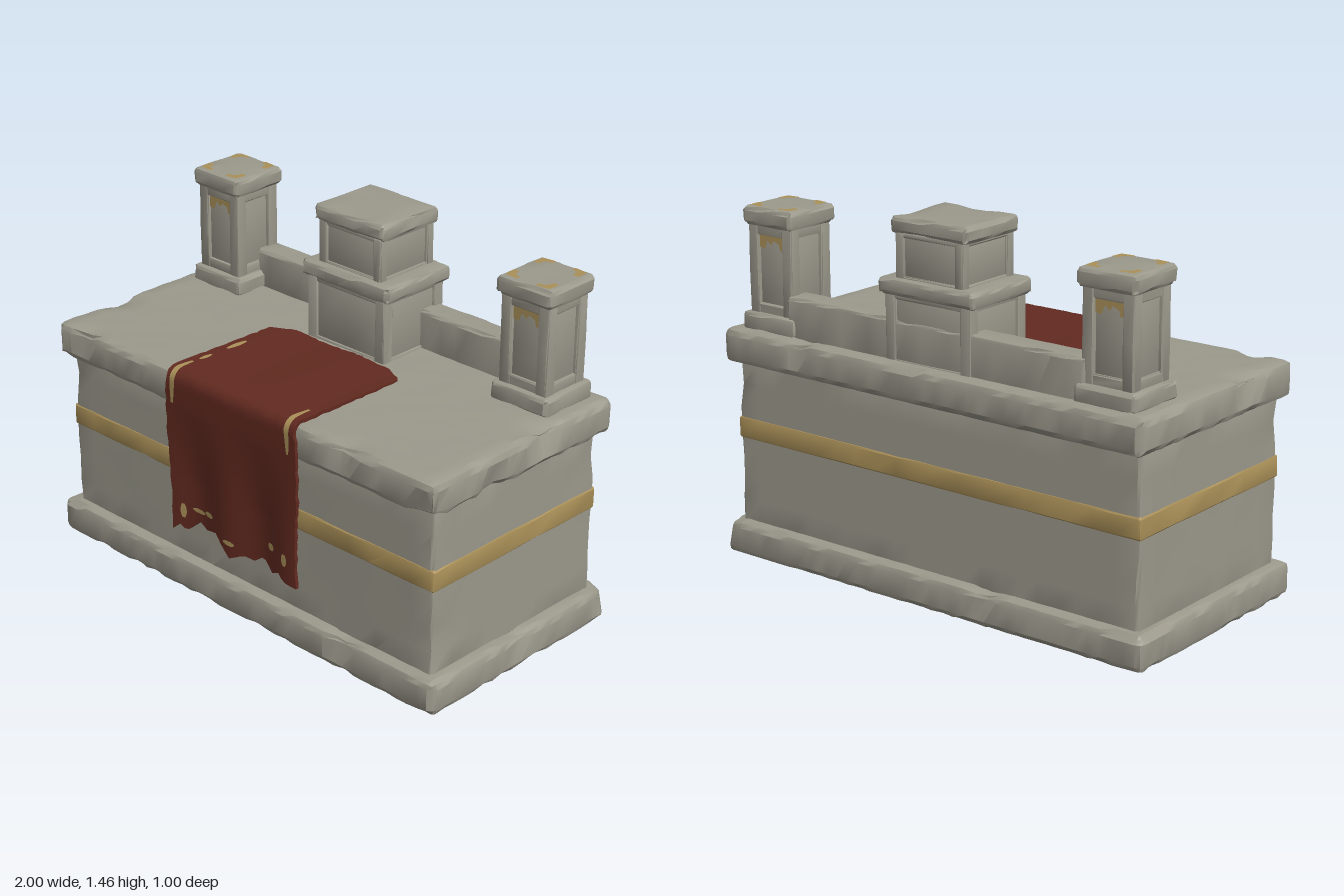
import * as THREE from 'three';
import { toCreasedNormals } from 'three/addons/utils/BufferGeometryUtils.js';

const stoneMat = new THREE.MeshStandardMaterial({ color: 0x9c998c });
stoneMat.name = 'stone';
const goldMat = new THREE.MeshStandardMaterial({ color: 0xab9159, side: THREE.DoubleSide });
goldMat.name = 'worn gold';
const clothMat = new THREE.MeshStandardMaterial({ color: 0x622a20 });
clothMat.name = 'red cloth';

const { lerp, clamp } = THREE.MathUtils;

// Repeatable 0..1 noise from a position
function hash(x, y, z, k) {
  const s = Math.sin(x * 127.1 + y * 311.7 + z * 74.7 + k * 53.3) * 43758.5453;
  return s - Math.floor(s);
}

function add(parent, name, geometry, material) {
  const mesh = new THREE.Mesh(geometry, material);
  mesh.name = name;
  parent.add(mesh);
  return mesh;
}

// Hewn block between bounds: bevelled edges, random wear, and chips [x, y, z, radius, depth]
function stone(parent, name, bx, by, bz, { r = 0.02, step = 0.09, wear = 0.012, chips = [], mat = stoneMat } = {}) {
  const bounds = [bx, by, bz];
  const size = bounds.map(b => b[1] - b[0]);
  const mid = bounds.map(b => (b[0] + b[1]) / 2);
  const n = size.map(s => Math.max(3, Math.round(s / step)));
  const geo = new THREE.BoxGeometry(...size, ...n);
  const pos = geo.attributes.position;
  const p = new THREE.Vector3(), inner = new THREE.Vector3(), dir = new THREE.Vector3();
  for (let v = 0; v < pos.count; v++) {
    p.fromBufferAttribute(pos, v);
    let outer = 0;
    const idx = [0, 1, 2].map(a => Math.round((p.getComponent(a) / size[a] + 0.5) * n[a]));
    idx.forEach((i, a) => {
      const h = size[a] / 2;
      const end = i === 0 || i === n[a];
      if (end) outer++;
      const c = end ? (i ? h : -h) : lerp(-h + r, h - r, (i - 1) / (n[a] - 2));
      p.setComponent(a, c);
      inner.setComponent(a, clamp(c, -h + r, h - r));
    });
    dir.subVectors(p, inner).normalize();
    p.copy(inner).addScaledVector(dir, r);
    p.add(new THREE.Vector3(...mid));
    const noise = hash(idx[0], idx[1], idx[2], mid[0] + mid[1] * 3);
    let dent = outer > 1 ? wear * noise ** 3 : wear * 0.15 * noise;
    for (const [x, y, z, radius, depth] of chips) {
      const d = Math.hypot(p.x - x, p.y - y, p.z - z);
      if (d < radius) dent += depth * (1 - d / radius);
    }
    p.addScaledVector(dir, -dent);
    pos.setXYZ(v, p.x, p.y, p.z);
  }
  return add(parent, name, toCreasedNormals(geo, 0.5), mat);
}

// Block with a recessed panel on each side: core, corner posts and rails
function panelled(parent, name, [x0, x1], [y0, y1], [z0, z1], frame, depth, rail) {
  const g = new THREE.Group();
  g.name = name;
  parent.add(g);
  stone(g, 'panelCore', [x0 + depth, x1 - depth], [y0, y1], [z0 + depth, z1 - depth], { r: 0.004, wear: 0 });
  const opt = { r: 0.006, wear: 0.006 };
  for (const x of [x0, x1 - frame])
    for (const z of [z0, z1 - frame])
      stone(g, 'cornerPost', [x, x + frame], [y0, y1], [z, z + frame], opt);
  for (const [a, b] of [[y0, y0 + rail], [y1 - rail, y1]])
    stone(g, 'rail', [x0 + 0.003, x1 - 0.003], [a, b], [z0 + 0.003, z1 - 0.003], opt);
  return g;
}

function polygon(points) {
  return new THREE.ShapeGeometry(new THREE.Shape(points.map(([x, y]) => new THREE.Vector2(x, y))));
}

// Cloth: s is the length along the drape, off the distance below its outer face
const FLAT = 0.55, R = 0.045, BEND = FLAT + R * Math.PI / 2, TOP = 0.895;
function drape(x, s, off) {
  if (s < FLAT) return [x, 0.94 - 0.012 * (1 - s / FLAT) - off + 0.003 * Math.sin(x * 17) * (1 - s / FLAT), s - 0.1];
  if (s < BEND) {
    const a = (s - FLAT) / R;
    return [x, TOP + (R - off) * Math.cos(a), 0.45 + (R - off) * Math.sin(a)];
  }
  const down = s - BEND;
  const fold = 0.011 * (1 - Math.cos(x * 19 + 0.6)) * clamp((down - 0.1) / 0.3, 0, 1);
  return [x * (1 + 0.02 * Math.sin(down * 9)), TOP - down, 0.495 - off - fold - 0.012 * down];
}

const HEM = [[-0.34, 0.26], [-0.3, 0.29], [-0.27, 0.27], [-0.2, 0.33], [-0.16, 0.31], [-0.1, 0.325], [-0.02, 0.25],
  [0.05, 0.285], [0.1, 0.28], [0.15, 0.315], [0.2, 0.27], [0.24, 0.29], [0.27, 0.265], [0.34, 0.26]];
function hemAt(x) {
  const i = Math.max(1, HEM.findIndex(h => h[0] >= x - 1e-6));
  const [a, b] = [HEM[i - 1], HEM[i]];
  return lerp(a[1], b[1], (x - a[0]) / (b[0] - a[0]));
}

function makeCloth(parent) {
  const g = new THREE.Group();
  g.name = 'altarCloth';
  parent.add(g);
  const geo = new THREE.BoxGeometry(0.68, 1, 0.014, 34, 50, 1);
  const pos = geo.attributes.position;
  for (let v = 0; v < pos.count; v++) {
    const x = pos.getX(v), t = 0.5 - pos.getY(v);
    const start = 0.05 * clamp((Math.abs(x) - 0.24) / 0.1, 0, 1) + 0.008 * hash(Math.round(x * 50), 1, 2, 3);
    const s = lerp(start, BEND + TOP - hemAt(x), t);
    const side = Math.abs(x) > 0.339 ? 1 - 0.025 * hash(Math.round(t * 50), 4, Math.sign(x), 1) : 1;
    pos.setXYZ(v, ...drape(x * side, s, 0.007 - pos.getZ(v)));
  }
  add(g, 'cloth', toCreasedNormals(geo, 0.7), clothMat);
  // Worn gold trim: [x, start, width, length]
  const trims = [[-0.295, 0.22, 0.025, 0.1], [-0.295, 0.4, 0.02, 0.06], [-0.3, 0.49, 0.026, 0.22], [0.3, 0.48, 0.024, 0.23],
    [-0.28, 1.13, 0.03, 0.06], [-0.2, 1.13, 0.07, 0.018], [-0.14, 1.12, 0.05, 0.022], [-0.02, 1.19, 0.06, 0.02],
    [0.2, 1.12, 0.035, 0.03], [0.28, 1.13, 0.03, 0.05]];
  for (const [cx, s0, w, len] of trims) {
    const patch = new THREE.PlaneGeometry(w, len, 4, 16);
    const pp = patch.attributes.position;
    for (let v = 0; v < pp.count; v++) {
      const t = 0.5 - pp.getY(v) / len;
      const taper = 0.45 + 0.55 * Math.sin(Math.PI * t);
      pp.setXYZ(v, ...drape(cx + pp.getX(v) * taper, s0 + t * len, -0.003));
    }
    patch.computeVertexNormals();
    add(g, 'clothTrim', patch, goldMat);
  }
}

function makePillar(parent, side) {
  const g = new THREE.Group();
  g.name = side > 0 ? 'leftPillar' : 'rightPillar';
  parent.add(g);
  const cx = 0.788 * side, cz = -0.315;
  const span = (c, h) => [c - h, c + h];
  stone(g, 'pillarFoot', span(cx, 0.133), [0.91, 0.988], span(cz, 0.132), { r: 0.016, step: 0.05 });
  panelled(g, 'pillarShaft', span(cx, 0.11), [0.98, 1.335], span(cz, 0.11), 0.05, 0.016, 0.045);
  stone(g, 'pillarCap', span(cx, 0.127), [1.325, 1.4], span(cz, 0.128), { r: 0.018, step: 0.05 });
  // Ragged gold ornament at the head of the front and back panels
  for (const f of [1, -1]) {
    const orn = add(g, 'pillarOrnament', polygon([[-0.06, 0.055], [0.06, 0.055], [0.06, 0], [0.045, -0.005], [0.038, 0.02],
      [0.012, 0.03], [-0.002, 0.012], [-0.02, 0.03], [-0.035, -0.005], [-0.06, 0]]), goldMat);
    orn.position.set(cx, 1.243, cz + f * 0.099);
    if (f < 0) orn.rotation.y = Math.PI;
  }
  // Gold flecks on the cap corners
  for (const sx of [1, -1]) for (const sz of [1, -1]) {
    const fleck = add(g, 'capFleck', polygon([[0.03, 0.03], [-0.025, 0.035], [-0.03, 0.018], [0, 0.008], [0.01, -0.025], [0.034, -0.02]]), goldMat);
    fleck.rotation.x = -Math.PI / 2;
    fleck.scale.set(sx, sz, 1);
    fleck.position.set(cx + sx * 0.07, 1.402, cz - sz * 0.075);
  }
}

export function createModel() {
  const model = new THREE.Group();
  model.name = 'stoneAltar';

  // Plinth, body, gold band and table slab
  stone(model, 'plinth', [-1, 1], [0, 0.14], [-0.5, 0.48], { r: 0.028, step: 0.05,
    chips: [[0.55, 0.13, 0.48, 0.09, 0.03], [1, 0.14, 0, 0.07, 0.03], [-0.3, 0.14, -0.5, 0.08, 0.025], [1, 0.13, -0.48, 0.08, 0.025]] });
  stone(model, 'body', [-0.953, 0.948], [0.12, 0.8], [-0.45, 0.43], { r: 0.014, step: 0.08,
    chips: [[0.948, 0.25, 0.43, 0.1, 0.02], [-0.953, 0.7, 0.43, 0.1, 0.015], [0.948, 0.72, -0.45, 0.1, 0.015]] });
  stone(model, 'goldBand', [-0.957, 0.952], [0.473, 0.56], [-0.454, 0.434], { r: 0.008, wear: 0.004, mat: goldMat });
  stone(model, 'tableSlab', [-0.985, 0.985], [0.78, 0.922], [-0.495, 0.48], { r: 0.03, step: 0.05,
    chips: [[0.94, 0.8, 0.48, 0.09, 0.03], [-0.83, 0.92, 0.48, 0.08, 0.03], [0.985, 0.9, -0.12, 0.1, 0.04],
      [-0.985, 0.9, 0.18, 0.1, 0.035], [0.985, 0.79, 0.16, 0.08, 0.03], [0.55, 0.92, 0.48, 0.08, 0.03], [0.6, 0.9, -0.49, 0.08, 0.025]] });

  // Low rear wall
  stone(model, 'rearWall', [-0.7, 0.7], [0.9, 1.075], [-0.435, -0.325], { r: 0.014, step: 0.06 });

  // Stepped centre pedestal
  const pedestal = new THREE.Group();
  pedestal.name = 'pedestal';
  model.add(pedestal);
  panelled(pedestal, 'pedestalBase', [-0.2, 0.2], [0.9, 1.18], [-0.44, -0.112], 0.05, 0.012, 0.03);
  stone(pedestal, 'pedestalLedge', [-0.226, 0.224], [1.165, 1.232], [-0.455, -0.1], { r: 0.018, step: 0.05 });
  panelled(pedestal, 'pedestalUpper', [-0.16, 0.157], [1.22, 1.4], [-0.43, -0.135], 0.04, 0.012, 0.02);
  stone(pedestal, 'pedestalCap', [-0.181, 0.177], [1.392, 1.46], [-0.436, -0.124], { r: 0.018, step: 0.05,
    chips: [[0, 1.46, -0.13, 0.06, 0.015], [0.177, 1.45, -0.32, 0.06, 0.02]] });

  for (const side of [1, -1]) makePillar(model, side);
  makeCloth(model);
  return model;
}
